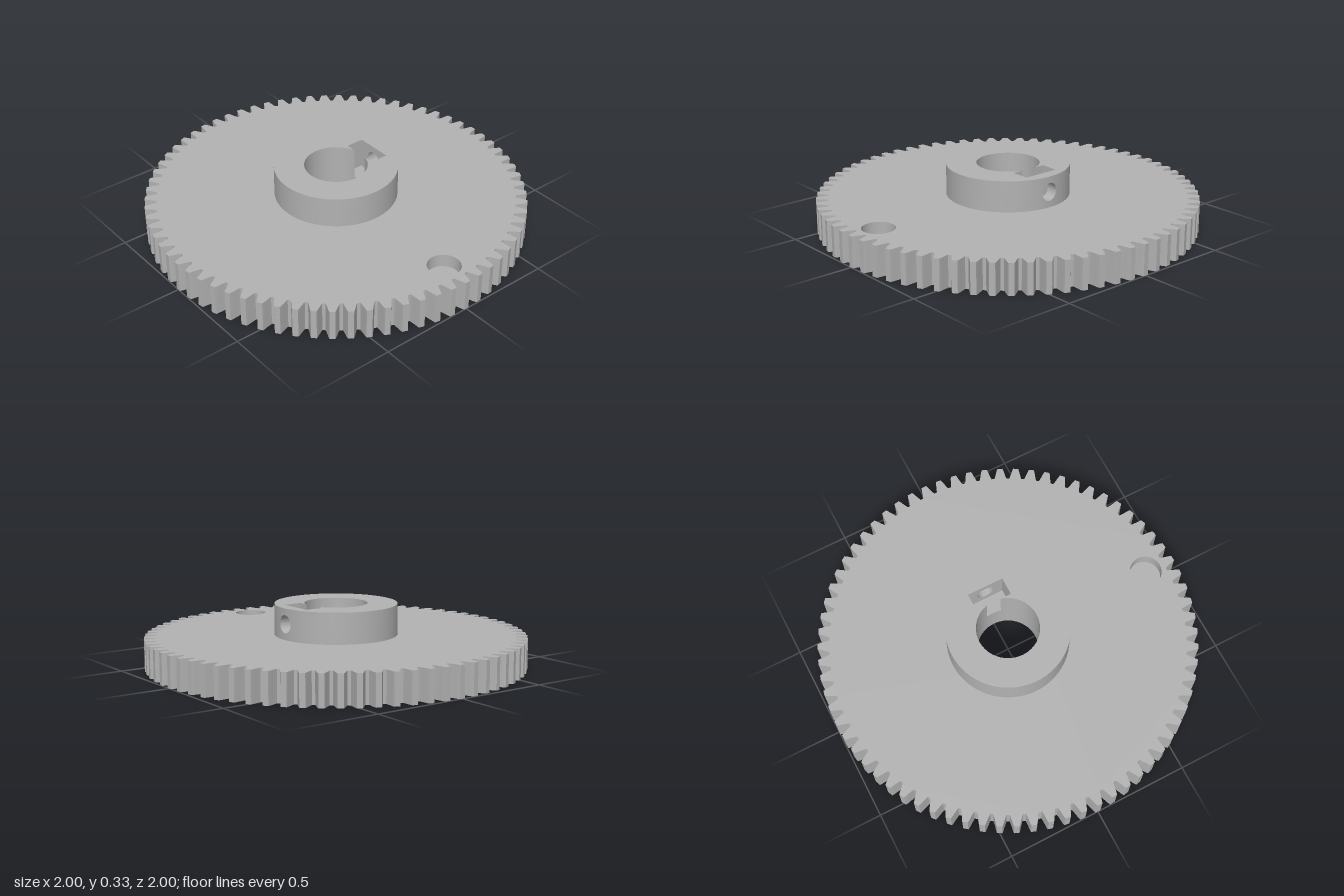
import * as THREE from 'three';
import { mergeGeometries, toCreasedNormals } from 'three/addons/utils/BufferGeometryUtils.js';

const TEETH = 72, ROOT = 0.939, PITCH = 0.973, TIP = 1;
const GEAR_TOP = 0.163, HUB_TOP = 0.327, HUB_R = 0.323, BORE = 0.165;
const RECESS_R = 0.085, RECESS_Z = 0.833, RECESS_FLOOR = 0.093;
const SLOT_IN = 0.16, SLOT_OUT = 0.258, SLOT_HALF = 0.1, SCREW_R = 0.047;

// Plan points are (x, -z), counter-clockwise seen from above
const polar = (r, a) => new THREE.Vector2(r * Math.cos(a), r * Math.sin(a));
const arc = (r, from, to, n) => Array.from({ length: n + 1 }, (_, i) => polar(r, from + (to - from) * i / n));
const circle = (r, n, cy = 0) => arc(r, 0, Math.PI * 2, n).slice(0, n).map(p => new THREE.Vector2(p.x, p.y + cy));

// Quads between two rows of 3D points
function strip(a, b, closed) {
  const out = [], n = a.length;
  for (let i = 0; i < (closed ? n : n - 1); i++) {
    const j = (i + 1) % n;
    for (const p of [a[i], a[j], b[j], a[i], b[j], b[i]]) out.push(p.x, p.y, p.z);
  }
  return new THREE.BufferGeometry().setAttribute('position', new THREE.Float32BufferAttribute(out, 3));
}

// Upright wall along a plan outline
function wall(points, y0, y1, closed = true) {
  const row = y => points.map(p => new THREE.Vector3(p.x, y, -p.y));
  return strip(row(y0), row(y1), closed);
}

// Flat face with holes, facing up or down
function cap(outline, holes, y, down = false) {
  const shape = new THREE.Shape(outline);
  shape.holes = holes.map(h => new THREE.Path(h));
  const g = new THREE.ShapeGeometry(shape).toNonIndexed();
  g.deleteAttribute('uv');
  g.deleteAttribute('normal');
  return g.rotateX(down ? Math.PI / 2 : -Math.PI / 2).translate(0, y, 0);
}

const solid = (name, parts, material) => {
  const mesh = new THREE.Mesh(toCreasedNormals(mergeGeometries(parts), 0.4), material);
  mesh.name = name;
  return mesh;
};

// Tooth outline: root, flank, tip, flank, root
function gearOutline() {
  const points = [];
  const profile = [[ROOT, 0.033], [0.951, 0.029], [PITCH, 0.0225], [0.988, 0.0185], [TIP, 0.014]];
  for (let i = 0; i < TEETH; i++) {
    const a = i / TEETH * Math.PI * 2;
    for (const [r, half] of profile) points.push(polar(r, a - half / r));
    for (const [r, half] of [...profile].reverse()) points.push(polar(r, a + half / r));
  }
  return points;
}

function gearParts() {
  const outline = gearOutline(), bore = circle(BORE, 72), recess = circle(RECESS_R, 40, -RECESS_Z);
  return [
    cap(outline, [bore, recess], GEAR_TOP),
    cap(outline, [bore], 0, true),
    wall(outline, 0, GEAR_TOP),
    wall([...bore].reverse(), 0, GEAR_TOP),
    // round blind recess near the rim
    wall([...recess].reverse(), RECESS_FLOOR, GEAR_TOP),
    cap(recess, [], RECESS_FLOOR),
  ];
}

function hubParts() {
  const side = Math.asin(SLOT_HALF / HUB_R), mouth = Math.acos(SLOT_IN / BORE), full = Math.PI * 2;
  const outer = arc(HUB_R, side, full - side, 90);
  const front = arc(HUB_R, -side, side, 12).slice(1, -1);
  // bore joined with the rectangular nut slot
  const inner = [
    new THREE.Vector2(SLOT_OUT, SLOT_HALF), new THREE.Vector2(SLOT_IN, SLOT_HALF),
    ...arc(BORE, mouth, full - mouth, 72),
    new THREE.Vector2(SLOT_IN, -SLOT_HALF), new THREE.Vector2(SLOT_OUT, -SLOT_HALF),
  ];

  // Loops that blend from the screw hole (t = 0) to the rectangle around it (t = 1)
  const midY = (GEAR_TOP + HUB_TOP) / 2, halfY = (HUB_TOP - GEAR_TOP) / 2, n = 12;
  const rect = [];
  for (const [u, v, du, dv] of [[-1, -1, 1, 0], [1, -1, 0, 1], [1, 1, -1, 0], [-1, 1, 0, -1]])
    for (let i = 0; i < n; i++)
      rect.push(new THREE.Vector2((u + du * 2 * i / n) * SLOT_HALF, (v + dv * 2 * i / n) * halfY));
  const loop = (t, xOf) => rect.map(p => {
    const q = p.clone().setLength(SCREW_R).lerp(p, t);
    return new THREE.Vector3(xOf(q.x), midY + q.y, -q.x);
  });
  const curved = w => Math.sqrt(HUB_R * HUB_R - w * w), flat = () => SLOT_OUT;

  const parts = [
    cap([...outer, ...front], [inner], HUB_TOP),
    wall(outer, GEAR_TOP, HUB_TOP, false),
    wall([...inner].reverse(), GEAR_TOP, HUB_TOP, false),
    // slot wall and screw hole
    strip(loop(0, flat), loop(1, flat), true),
    strip(loop(0, curved), loop(0, flat), true),
  ];
  for (let k = 0; k < 4; k++) parts.push(strip(loop((k + 1) / 4, curved), loop(k / 4, curved), true));
  return parts;
}

export function createModel() {
  const grey = new THREE.MeshStandardMaterial({ color: 0xb2b2b2 });
  grey.name = 'lightGrey';
  const model = new THREE.Group();
  model.name = 'spurGear';
  model.add(solid('toothedDisc', gearParts(), grey), solid('hub', hubParts(), grey));
  return model;
}
